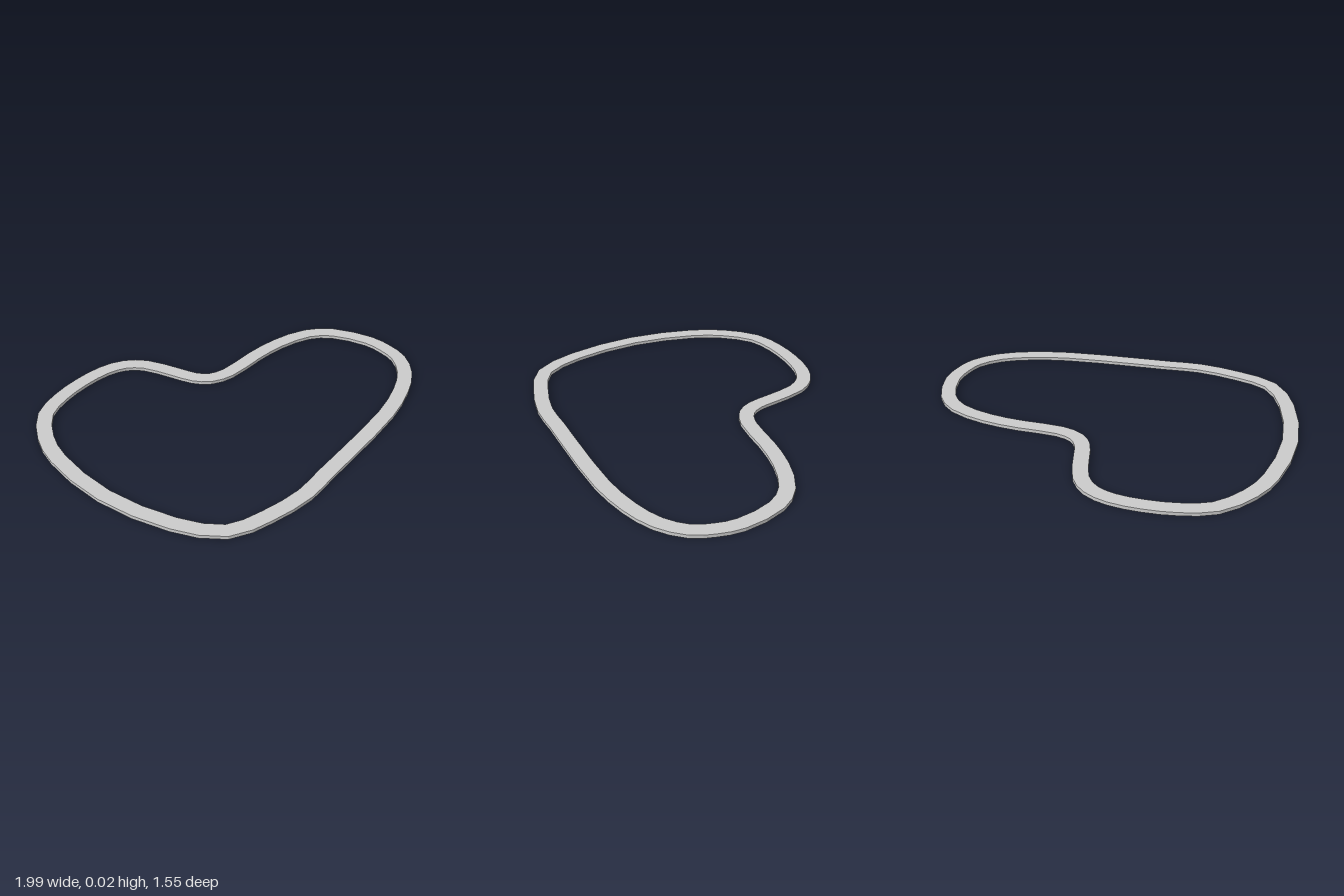
import * as THREE from 'three';

const HALF_WIDTH = 0.04;
const HEIGHT = 0.018;

// Centreline of the loop as [x, z]
const PATH = [
  [-0.36, -0.737], [-0.2, -0.72], [-0.09, -0.67], [-0.02, -0.58], [0.025, -0.4], [0.05, -0.29],
  [0.1, -0.215], [0.2, -0.172], [0.42, -0.16], [0.61, -0.133], [0.8, -0.06], [0.9, 0.05],
  [0.955, 0.26], [0.94, 0.38], [0.9, 0.485], [0.79, 0.59], [0.625, 0.66], [0.4, 0.705],
  [0, 0.723], [-0.2, 0.727], [-0.38, 0.733], [-0.61, 0.685], [-0.8, 0.6], [-0.91, 0.38],
  [-0.96, 0], [-0.9, -0.36], [-0.82, -0.53], [-0.68, -0.677], [-0.52, -0.726],
];

export function createModel() {
  const group = new THREE.Group();
  const curve = new THREE.CatmullRomCurve3(
    PATH.map(([x, z]) => new THREE.Vector3(x, z, 0)), true, 'centripetal');

  // Offset the centreline sideways by a signed distance
  const count = PATH.length * 2;
  const offset = (d) => Array.from({ length: count }, (_, i) => {
    const p = curve.getPoint(i / count);
    const t = curve.getTangent(i / count);
    return new THREE.Vector2(p.x + t.y * d, p.y - t.x * d);
  });

  // Flat band: outer outline with the inner outline cut out
  const shape = new THREE.Shape(offset(HALF_WIDTH));
  shape.holes.push(new THREE.Path(offset(-HALF_WIDTH)));
  const geometry = new THREE.ExtrudeGeometry(shape, { depth: HEIGHT, bevelEnabled: false });
  geometry.rotateX(Math.PI / 2);
  geometry.translate(0, HEIGHT, 0);

  const band = new THREE.Mesh(geometry, new THREE.MeshStandardMaterial({ color: 0xcccccc }));
  band.name = 'curvedLoopBand';
  group.add(band);
  return group;
}
